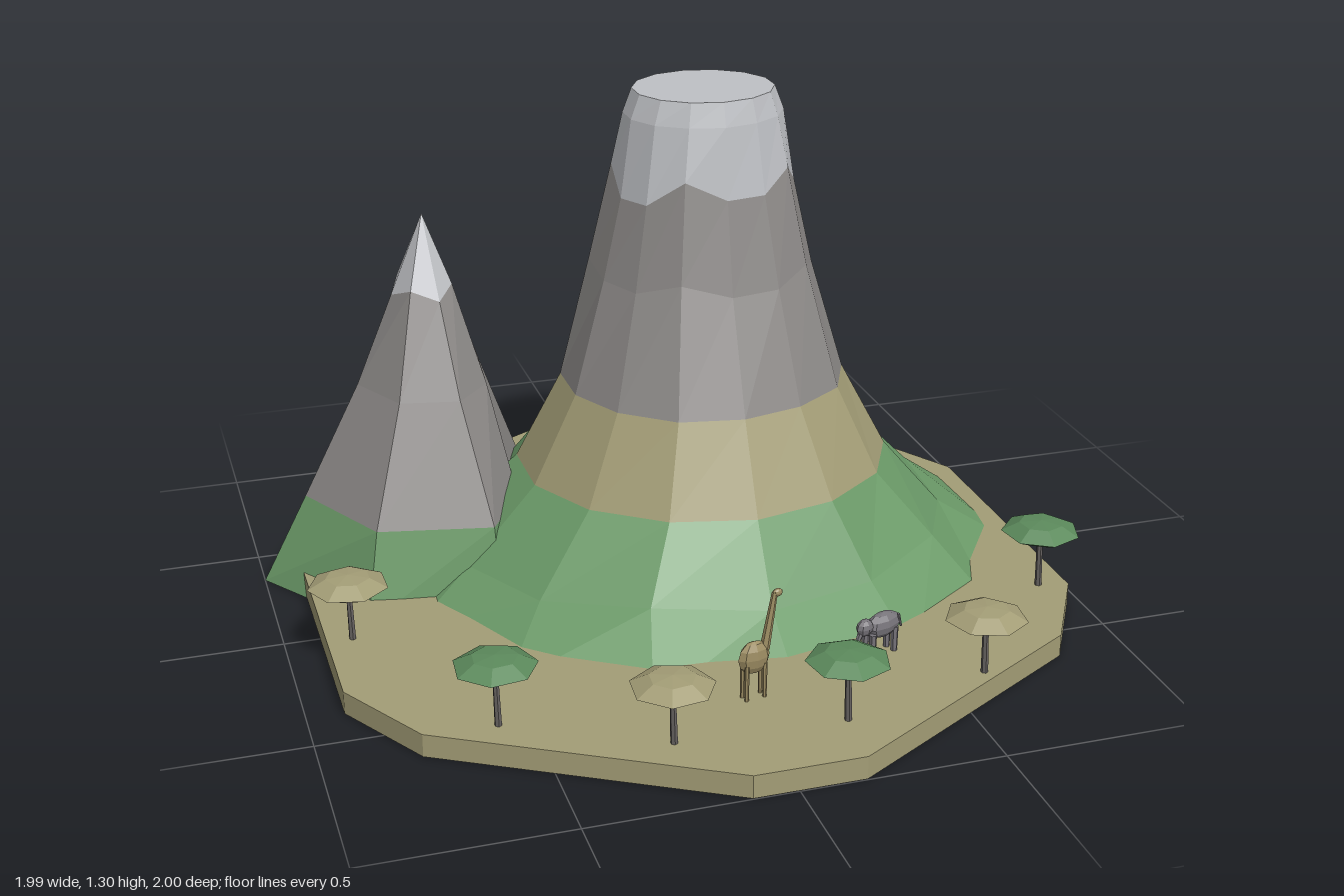
import * as THREE from 'three';

const mat = (name, color) => Object.assign(new THREE.MeshStandardMaterial({ color, flatShading: true }), { name });
const M = {
  savanna: mat('dry grass', 0xa39d76),
  green: mat('green slope', 0x6b9a68),
  rock: mat('rock', 0x8d8a88),
  snow: mat('snow', 0xbfc1c5),
  leaf: mat('tree green', 0x5c8a5c),
  trunk: mat('trunk', 0x666260),
  hide: mat('grey hide', 0x77747a),
  coat: mat('tan coat', 0x9c8c62),
};

let seed = 7;
const rand = () => (seed = (seed * 16807) % 2147483647) / 2147483647 - 0.5;

// Faceted skin between rings of points; optional end caps
function loft(name, rings, material, capBottom = false, capTop = false) {
  const pos = [];
  const tri = (...pts) => pts.forEach((p) => pos.push(p.x, p.y, p.z));
  const n = rings[0].length;
  for (let r = 0; r < rings.length - 1; r++) {
    for (let i = 0; i < n; i++) {
      const j = (i + 1) % n, lo = rings[r], hi = rings[r + 1];
      tri(lo[i], hi[i], lo[j]);
      tri(lo[j], hi[i], hi[j]);
    }
  }
  const cap = (ring, up) => {
    const c = ring.reduce((s, p) => s.add(p), new THREE.Vector3()).divideScalar(n);
    ring.forEach((p, i) => {
      const q = ring[(i + 1) % n];
      if (up) tri(c, q, p); else tri(c, p, q);
    });
  };
  if (capBottom) cap(rings[0], false);
  if (capTop) cap(rings[rings.length - 1], true);
  const g = new THREE.BufferGeometry();
  g.setAttribute('position', new THREE.Float32BufferAttribute(pos, 3));
  g.computeVertexNormals();
  const mesh = new THREE.Mesh(g, material);
  mesh.name = name;
  return mesh;
}

const ringAt = (pts, y) => pts.map(([x, z]) => new THREE.Vector3(x, y, z));

function part(name, geometry, material, x, y, z) {
  const m = new THREE.Mesh(geometry, material);
  m.name = name;
  m.position.set(x, y, z);
  return m;
}

// Thin tapered rod between two points
function rod(name, a, b, r0, r1, material) {
  const from = new THREE.Vector3(...a), dir = new THREE.Vector3(...b).sub(from);
  const m = part(name, new THREE.CylinderGeometry(r1, r0, dir.length(), 6), material, 0, 0, 0);
  m.position.copy(from).addScaledVector(dir, 0.5);
  m.quaternion.setFromUnitVectors(new THREE.Vector3(0, 1, 0), dir.normalize());
  return m;
}

function groundPlate() {
  const outline = [[0.96, 0.38], [0.82, 0.62], [0.16, 1], [-0.11, 1], [-0.77, 0.62], [-0.91, 0.38],
    [-0.91, -0.38], [-0.77, -0.62], [-0.11, -1], [0.16, -1], [0.82, -0.62], [0.96, -0.38]];
  return loft('groundPlate', [ringAt(outline, 0.002), ringAt(outline, 0.06)], M.savanna, true, true);
}

// Large flat-topped mountain with horizontal colour bands
function mainMountain() {
  const g = new THREE.Group();
  g.name = 'mainMountain';
  const N = 14, cx = 0.14, cz = -0.16;
  const foot = [0.87, 0.81, 0.78, 0.78, 0.8, 0.84, 0.84, 0.82, 0.95, 0.85, 0.8, 0.79, 0.876, 0.86];
  const ring = (y, rx, rz, jitter = 0, zig = 0) => foot.map((_, i) => {
    const a = ((i + 0.5) / N) * Math.PI * 2, k = 1 + rand() * jitter;
    return new THREE.Vector3(cx + Math.cos(a) * rx * k, y + (i % 3 === 1 ? zig : rand() * zig * 0.5), cz + Math.sin(a) * rz * k);
  });
  const base = foot.map((r, i) => {
    const a = ((i + 0.5) / N) * Math.PI * 2;
    return new THREE.Vector3(cx + Math.cos(a) * r, 0.004, cz + Math.sin(a) * r);
  });
  const r1 = ring(0.13, 0.67, 0.575, 0.06, 0.025);
  const r2 = ring(0.32, 0.49, 0.455, 0.02);
  const r3 = ring(0.545, 0.37, 0.355, 0.03);
  const r4 = ring(0.83, 0.285, 0.245, 0.07, 0.03);
  const r5 = ring(1.05, 0.235, 0.2, 0.02, 0.06);
  const r6 = ring(1.24, 0.202, 0.18, 0.02);
  const r7 = ring(1.3, 0.18, 0.165);
  g.add(
    loft('greenSlope', [base, r1, r2], M.green, true),
    loft('grassBand', [r2, r3], M.savanna),
    loft('rockBand', [r3, r4, r5], M.rock),
    loft('snowTop', [r5, r6, r7], M.snow, false, true),
  );
  return g;
}

// Smaller pointed mountain beside it
function smallMountain() {
  const g = new THREE.Group();
  g.name = 'smallMountain';
  const foot = ringAt([[-0.26, -0.54], [-0.33, -0.18], [-0.44, 0.01], [-0.78, -0.04], [-1, -0.36], [-0.82, -0.7], [-0.46, -0.78]], 0);
  const low = ringAt([[-0.28, -0.52], [-0.35, -0.19], [-0.45, -0.03], [-0.74, -0.09], [-0.88, -0.36], [-0.73, -0.58], [-0.46, -0.74]], 0.23);
  const mid = ringAt([[-0.39, -0.46], [-0.41, -0.26], [-0.5, -0.16], [-0.65, -0.19], [-0.73, -0.35], [-0.67, -0.49], [-0.5, -0.57]], 0.53);
  const tip = new THREE.Vector3(-0.545, 0.975, -0.35);
  const snow = mid.map((p, i) => {
    const q = p.clone().lerp(tip, 0.53);
    q.y = 0.765 + (i % 2) * 0.03;
    return q;
  });
  g.add(
    loft('greenFoot', [foot, low], M.green, true),
    loft('rockFace', [low, mid, snow], M.rock),
    loft('snowPeak', [snow, snow.map(() => tip)], M.snow),
  );
  return g;
}

// Flat-crowned tree
function tree(x, z, crown, y) {
  const g = new THREE.Group();
  g.name = 'tree';
  const profile = [[0, 0.19], [0.055, 0.19], [0.1, 0.212], [0.055, 0.235], [0, 0.24]].map(([r, h]) => new THREE.Vector2(r, h));
  const top = part('crown', new THREE.LatheGeometry(profile, 7), crown, 0, y, 0);
  top.rotation.y = x * 5;
  g.add(top, rod('trunk', [0.004, 0.05, 0], [0, 0.2, 0], 0.009, 0.007, M.trunk));
  g.position.set(x, 0, z);
  return g;
}

function ball(name, material, x, y, z, sx, sy, sz) {
  const m = part(name, new THREE.SphereGeometry(1, 8, 6), material, x, y, z);
  m.scale.set(sx, sy, sz);
  return m;
}

function legs(g, dx, dz, top, r, material) {
  for (const sx of [-1, 1]) for (const sz of [-1, 1]) {
    g.add(rod('leg', [sx * dx, 0.055, sz * dz], [sx * dx, top, sz * dz], r, r * 1.2, material));
  }
}

function longNeckedAnimal() {
  const g = new THREE.Group();
  g.name = 'longNeckedAnimal';
  g.add(
    ball('body', M.coat, 0, 0.165, 0, 0.042, 0.042, 0.02),
    rod('neck', [0.028, 0.18, 0], [0.053, 0.32, 0], 0.012, 0.007, M.coat),
    ball('head', M.coat, 0.06, 0.318, 0, 0.014, 0.01, 0.008),
  );
  legs(g, 0.024, 0.01, 0.15, 0.005, M.coat);
  g.position.set(0, 0, 0.68);
  g.rotation.y = 0.2;
  return g;
}

function greyAnimal() {
  const g = new THREE.Group();
  g.name = 'greyAnimal';
  g.add(
    ball('body', M.hide, 0.008, 0.135, 0, 0.055, 0.032, 0.025),
    ball('head', M.hide, -0.052, 0.145, 0, 0.024, 0.022, 0.017),
    rod('snout', [-0.062, 0.14, 0], [-0.076, 0.11, 0], 0.009, 0.005, M.hide),
    rod('tail', [0.06, 0.145, 0], [0.07, 0.11, 0], 0.004, 0.003, M.hide),
  );
  legs(g, 0.036, 0.013, 0.125, 0.008, M.hide);
  g.position.set(0.36, 0, 0.57);
  g.rotation.y = 0.38;
  return g;
}

export function createModel() {
  const model = new THREE.Group();
  model.name = 'mountainIsland';
  model.add(groundPlate(), mainMountain(), smallMountain(), longNeckedAnimal(), greyAnimal());
  for (const [x, z] of [[-0.85, 0.13], [-0.24, 0.82], [0.56, 0.73]]) model.add(tree(x, z, M.savanna, -0.005));
  for (const [x, z] of [[-0.6, 0.63], [0.17, 0.84], [0.88, 0.36]]) model.add(tree(x, z, M.leaf, 0.003));
  return model;
}
